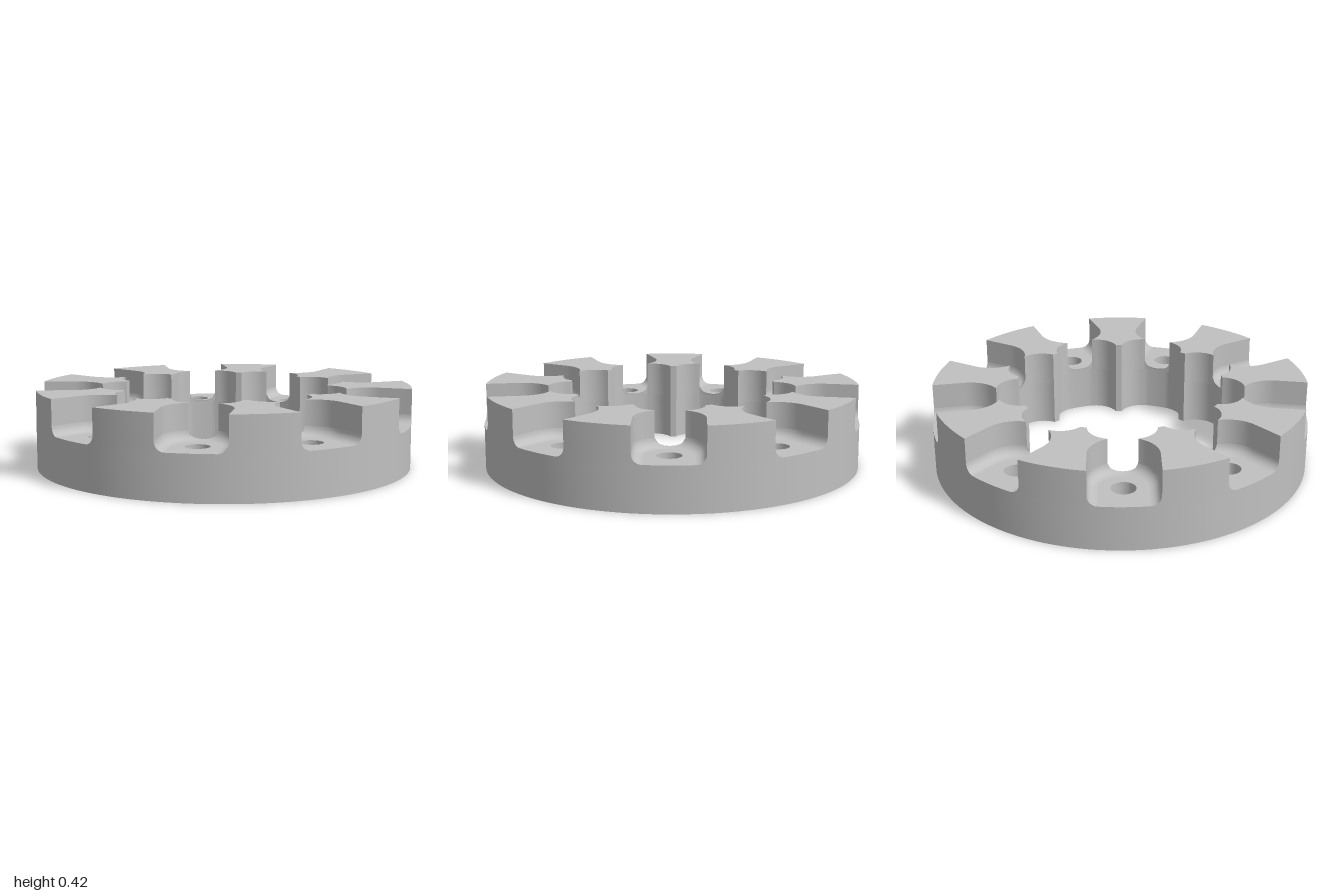
import * as THREE from 'three';
import { toCreasedNormals } from 'three/addons/utils/BufferGeometryUtils.js';

const COUNT = 9, STEP = (Math.PI * 2) / COUNT;
const TOP = 0.42, FLOOR = 0.235, FILLET = 0.05;
const BORE = 0.66;
// holes and rounded pocket ends share one pitch circle
const PITCH = 0.815, HALF = 0.176;
const DEG = Math.PI / 180;

// points are [x, z]; angle 0 points to +z
const polar = (r, a) => [r * Math.sin(a), r * Math.cos(a)];
const turn = ([x, z], a) => polar(Math.hypot(x, z), Math.atan2(x, z) + a);
const mirror = ([x, z]) => [-x, z];
const vec = (pts) => pts.map(([x, z]) => new THREE.Vector2(x, z));
const range = (n, a, b) => Array.from({ length: n + 1 }, (_, i) => a + ((b - a) * i) / n);

// point on the round pocket end at angle a, with the outline shrunk by d
const endPoint = (a, d = 0) => [(HALF - d) * Math.cos(a), PITCH - (HALF - d) * Math.sin(a)];

// angle at which the pocket end breaks into the bore
function findBreak() {
  let lo = 0, hi = Math.PI / 2;
  for (let i = 0; i < 40; i++) {
    const mid = (lo + hi) / 2;
    if (Math.hypot(...endPoint(mid)) > BORE) lo = mid; else hi = mid;
  }
  return lo;
}
const BREAK = findBreak();

// one side of a bore scallop, from its rounded corner to the ridge
const scallopSide = range(8, 14 * DEG, 90 * DEG)
  .map((p) => [0.047 + 0.128 * Math.sin(p), 0.53 + 0.128 * Math.cos(p)]);

function extrudeDown(shape, top, depth) {
  const g = new THREE.ExtrudeGeometry(shape, { depth, bevelEnabled: false, curveSegments: 32 });
  g.rotateX(Math.PI / 2);
  g.translate(0, top, 0);
  return toCreasedNormals(g, 0.5);
}

// ring with scalloped bore, through holes and wider holes under the lugs
function baseGeometry() {
  const outline = range(144, Math.PI * 2, 0).slice(1).map((a) => polar(1, a));
  const shape = new THREE.Shape(vec(outline));
  const scallop = [
    ...scallopSide.map(mirror).reverse(),
    ...range(6, -6.5 * DEG, 6.5 * DEG).map((a) => polar(BORE, a)),
    ...scallopSide,
  ];
  const bore = [];
  for (let i = 0; i < COUNT; i++) {
    bore.push(...scallop.map((p) => turn(p, i * STEP)));
    for (const [r, a] of [[0.062, i * STEP], [0.08, (i + 0.5) * STEP]]) {
      const hole = new THREE.Path();
      hole.absarc(...polar(PITCH, a), r, 0, Math.PI * 2, true);
      shape.holes.push(hole);
    }
  }
  shape.holes.push(new THREE.Path(vec(bore)));
  return extrudeDown(shape, FLOOR, FLOOR);
}

// raised lug between two pockets
function lugGeometry() {
  const rim = Math.asin(HALF);
  const side = [
    polar(1, rim),
    ...range(10, 0, BREAK).map((a) => endPoint(a)),
    ...scallopSide,
  ];
  const otherSide = side.map((p) => turn(mirror(p), STEP)).reverse();
  const outer = range(12, STEP - rim, rim).slice(1, -1).map((a) => polar(1, a));
  return extrudeDown(new THREE.Shape(vec([...side, ...otherSide, ...outer])), TOP, TOP - FLOOR);
}

// rounded foot of the pocket wall, cut off where it meets the bore
function filletGeometry() {
  const rows = 6, wallSteps = 10;
  const angles = [...range(wallSteps, 0, BREAK), ...range(5, BREAK, Math.PI / 2).slice(1)];
  const place = ([x, z]) => {
    const push = Math.max(1, BORE / Math.hypot(x, z));
    x *= push;
    z *= push;
    const inset = HALF - (z > PITCH ? Math.abs(x) : Math.hypot(x, z - PITCH));
    const d = THREE.MathUtils.clamp(inset, 0, FILLET);
    return [x, FLOOR + FILLET - Math.sqrt(FILLET ** 2 - (FILLET - d) ** 2), z];
  };
  const grid = range(rows, 0, Math.PI / 2).map((p) => {
    const d = FILLET * (1 - Math.cos(p));
    const half = [polar(1, Math.asin(HALF - d)), ...angles.map((a) => endPoint(a, d))];
    return [...half, ...half.slice(0, -1).map(mirror).reverse()].map(place);
  });
  const pos = [];
  const quad = (a, b, c, d) => pos.push(...a, ...b, ...c, ...a, ...c, ...d);
  const down = ([x, , z]) => [x, FLOOR, z];
  const last = grid[0].length - 1;
  for (let v = 0; v < rows; v++) {
    for (let u = 0; u < last; u++) quad(grid[v][u], grid[v][u + 1], grid[v + 1][u + 1], grid[v + 1][u]);
    // end faces on the outer rim
    const [a, b, c, d] = [grid[v][0], grid[v + 1][0], grid[v][last], grid[v + 1][last]];
    quad(a, b, down(b), down(a));
    quad(d, c, down(c), down(d));
  }
  // low sill facing the bore
  for (let u = wallSteps + 1; u < last - wallSteps - 1; u++) {
    const a = grid[0][u], b = grid[0][u + 1];
    quad(b, a, down(a), down(b));
  }
  const g = new THREE.BufferGeometry();
  g.setAttribute('position', new THREE.Float32BufferAttribute(pos, 3));
  return toCreasedNormals(g, 0.6);
}

export function createModel() {
  const metal = new THREE.MeshStandardMaterial({ color: 0xc0c0c0 });
  metal.name = 'grey metal';
  const model = new THREE.Group();
  model.name = 'slottedRing';
  const add = (name, geometry, angle = 0) => {
    const mesh = new THREE.Mesh(geometry, metal);
    mesh.name = name;
    mesh.rotation.y = angle;
    model.add(mesh);
  };
  add('baseRing', baseGeometry());
  const lug = lugGeometry(), fillet = filletGeometry();
  for (let i = 0; i < COUNT; i++) {
    add('lug', lug, i * STEP);
    add('pocketFillet', fillet, i * STEP);
  }
  return model;
}
